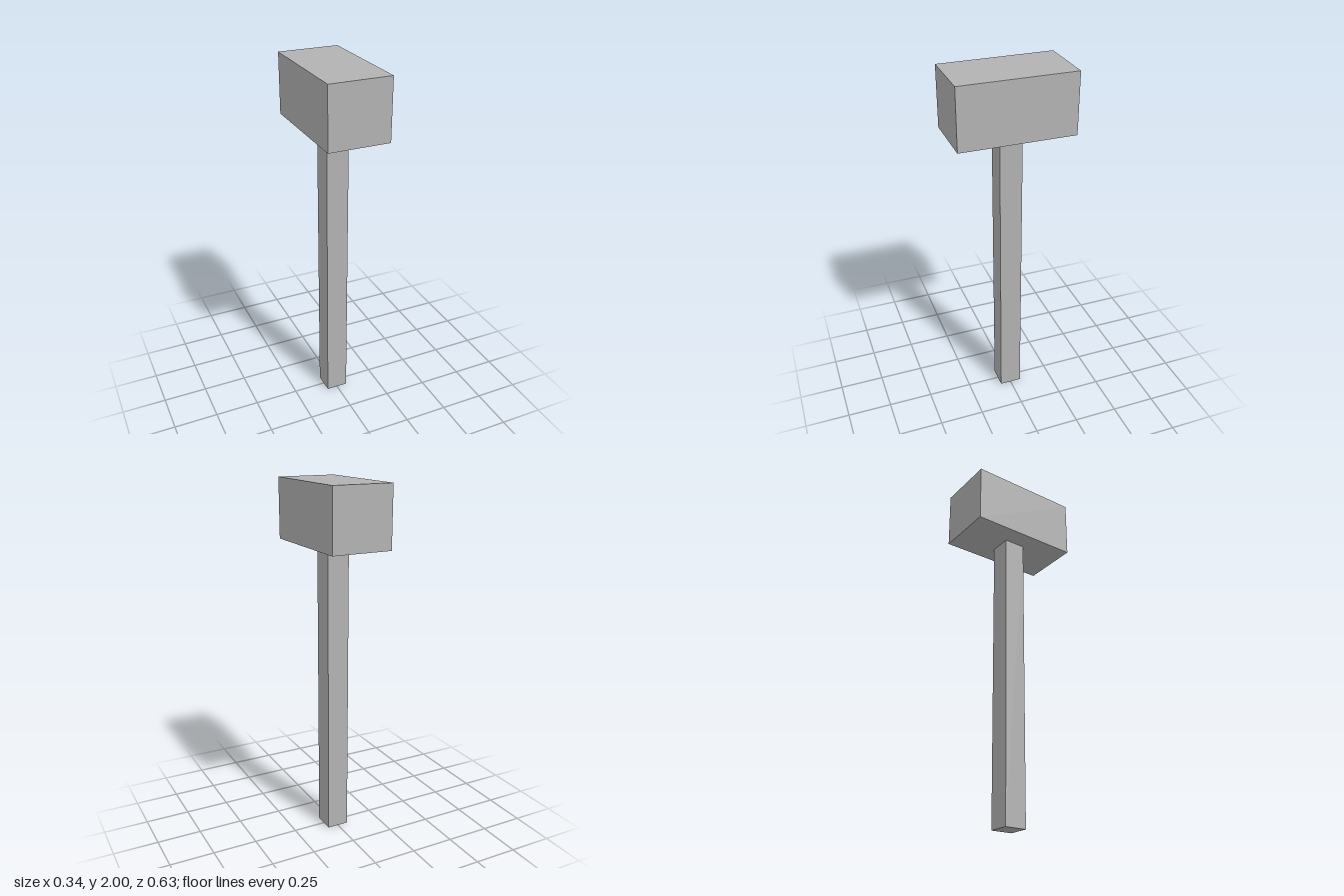
import * as THREE from 'three';

export function createModel() {
  const model = new THREE.Group();
  model.name = 'mallet';

  const grey = new THREE.MeshStandardMaterial({ color: 0xb2b2b2 });
  grey.name = 'plain grey';

  // Box standing on a given height, centred on the y axis
  function addBlock(name, width, height, depth, bottom) {
    const mesh = new THREE.Mesh(new THREE.BoxGeometry(width, height, depth), grey);
    mesh.name = name;
    mesh.position.y = bottom + height / 2;
    model.add(mesh);
  }

  // Square shaft
  addBlock('handle', 0.124, 1.666, 0.124, 0);
  // Heavy block, long from front to back
  addBlock('head', 0.338, 0.334, 0.632, 1.666);

  return model;
}
